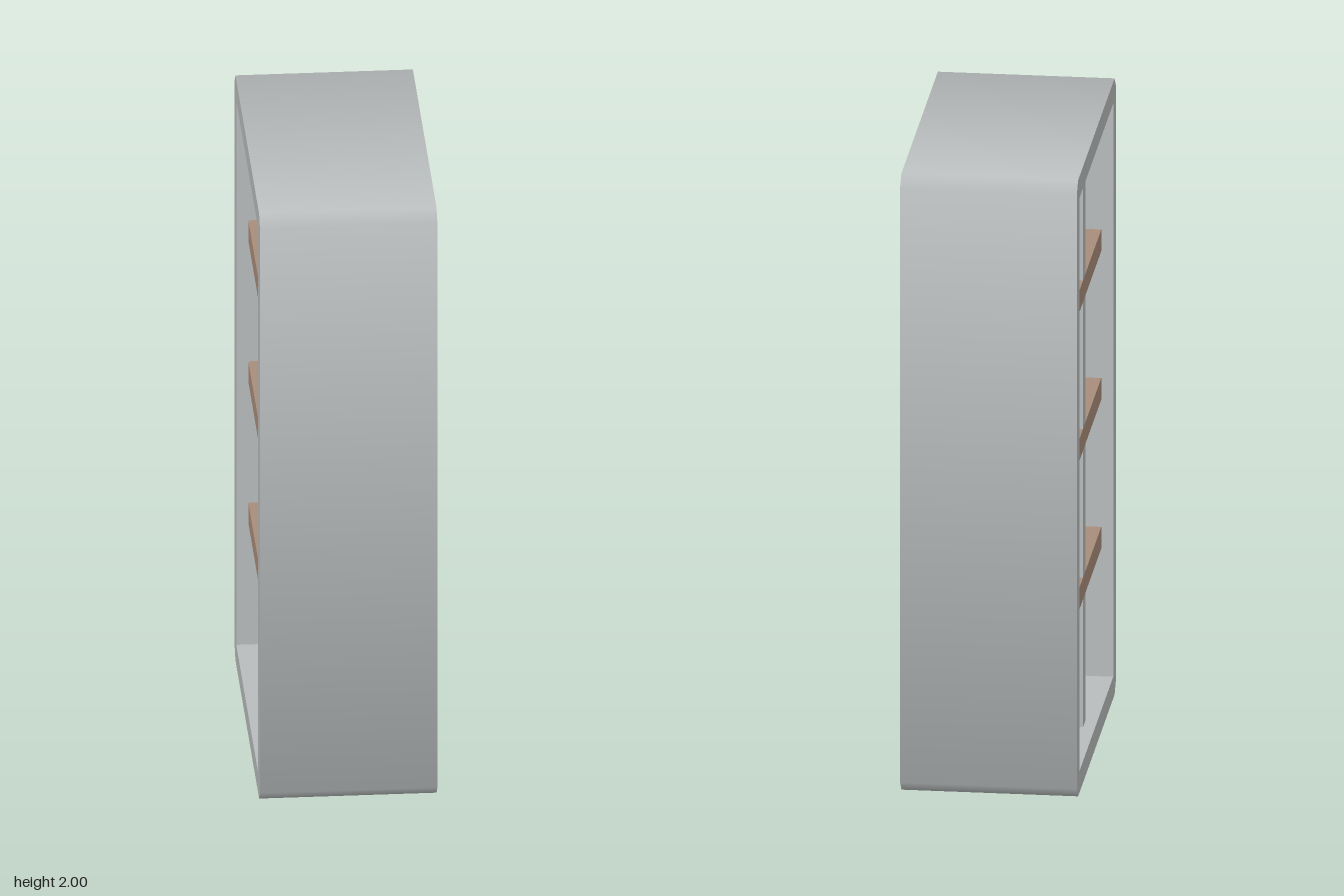
import * as THREE from 'three';

const HALF_X = 0.273, HALF_Z = 0.517, HALF_Y = 1; // outer half sizes
const WALL = 0.07, CUT = 0.035, RECESS = 0.037;
const SHELF_Y = [0.52, 1.003, 1.485];

// Hollow frame with cut corners; outer band shaded smoothly round the corners
function frameGeometry() {
  const a = HALF_Z, b = HALF_Y, c = CUT, u = a - WALL, v = b - WALL;
  const points = (list) => list.map(([x, y]) => new THREE.Vector2(x, y));
  const shape = new THREE.Shape(points([
    [a, c - b], [a, b - c], [a - c, b], [c - a, b],
    [-a, b - c], [-a, c - b], [c - a, -b], [a - c, -b],
  ]));
  shape.holes.push(new THREE.Path(points([[u, v], [u, -v], [-u, -v], [-u, v]])));
  const geo = new THREE.ExtrudeGeometry(shape, { depth: 2 * HALF_X, bevelEnabled: false });
  geo.translate(0, 0, -HALF_X);

  const pos = geo.attributes.position, nor = geo.attributes.normal;
  const major = Math.cos(Math.PI / 8), minor = Math.sin(Math.PI / 8);
  for (let i = 0; i < pos.count; i++) {
    if (Math.abs(nor.getZ(i)) > 0.5) continue;
    const x = pos.getX(i), y = pos.getY(i);
    const onSide = Math.abs(x) > a - 0.001, onEnd = Math.abs(y) > b - 0.001;
    if (onSide) nor.setXYZ(i, Math.sign(x) * major, Math.sign(y) * minor, 0);
    else if (onEnd) nor.setXYZ(i, Math.sign(x) * minor, Math.sign(y) * major, 0);
  }
  return geo.rotateY(Math.PI / 2).translate(0, HALF_Y, 0);
}

export function createModel() {
  const grey = new THREE.MeshStandardMaterial({ color: 0xb8bcbc });
  grey.name = 'painted grey';
  const brown = new THREE.MeshStandardMaterial({ color: 0xa88c7a });
  brown.name = 'brown wood';

  const group = new THREE.Group();
  group.name = 'bookcase';
  const add = (name, geometry, material, y = 0) => {
    const mesh = new THREE.Mesh(geometry, material);
    mesh.name = name;
    mesh.position.y = y;
    group.add(mesh);
  };

  add('frame', frameGeometry(), grey);

  // Shelves, set back from both open sides
  const depth = 2 * (HALF_X - RECESS);
  for (const y of SHELF_Y) {
    add('shelf', new THREE.BoxGeometry(depth, WALL, 2 * (HALF_Z - WALL)), brown, y);
  }

  // Upright divider panels between the shelves
  const levels = [WALL / 2, ...SHELF_Y, 2 * HALF_Y - WALL / 2];
  for (let i = 0; i < levels.length - 1; i++) {
    const height = levels[i + 1] - levels[i] - WALL;
    add('divider', new THREE.BoxGeometry(depth, height, WALL), grey, (levels[i] + levels[i + 1]) / 2);
  }
  return group;
}
